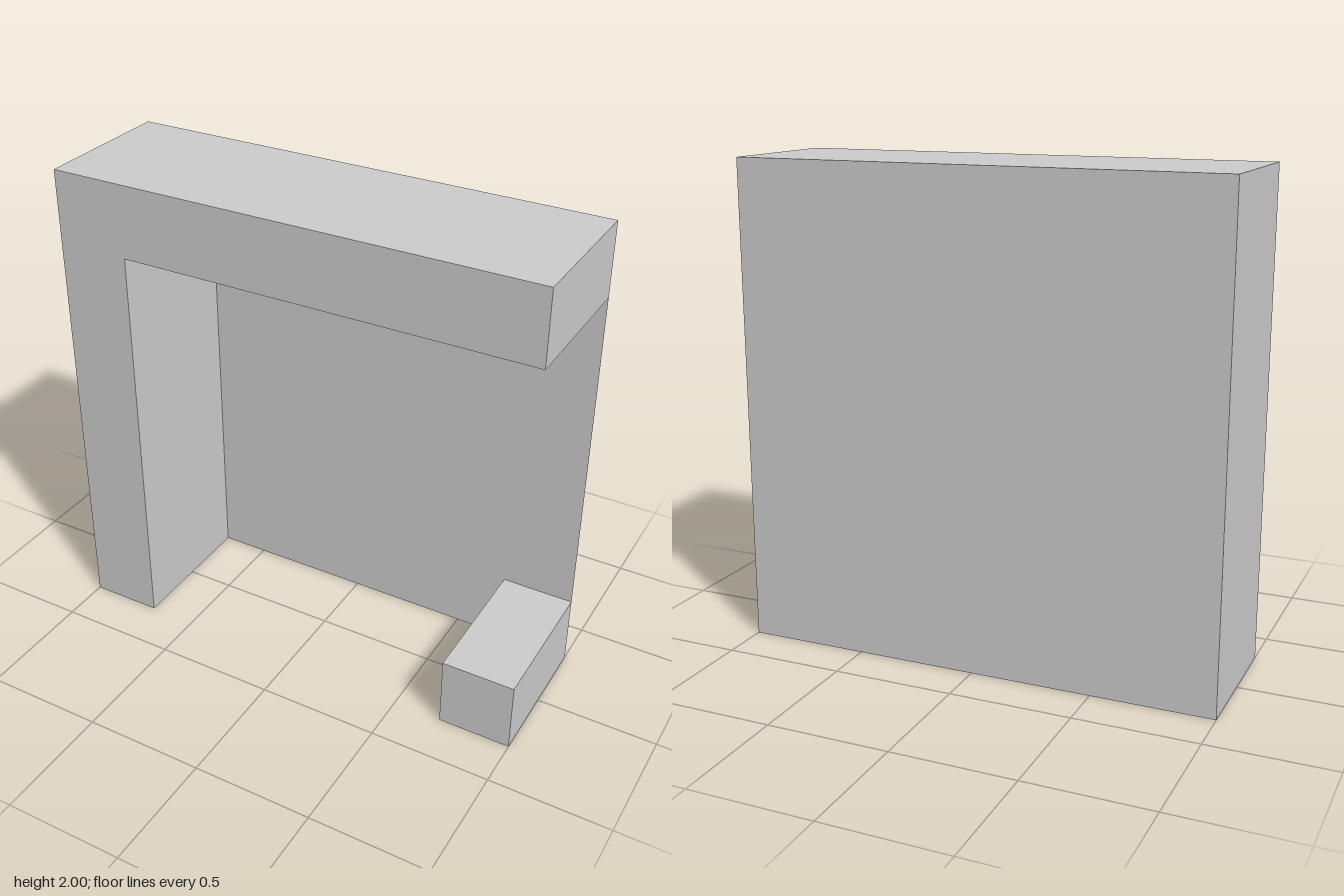
import * as THREE from 'three';

const HALF = 1, HEIGHT = 2, BAR = 0.3, DEPTH = 0.6;

// Flat outline from a list of [x, y] corners
function outline(corners) {
  return new THREE.Shape(corners.map(([x, y]) => new THREE.Vector2(x, y)));
}

export function createModel() {
  const group = new THREE.Group();
  const material = new THREE.MeshStandardMaterial({ color: 0xcccccc, flatShading: true });
  const thin = material.clone();
  thin.side = THREE.DoubleSide;

  const add = (name, geometry, mat = material) => {
    const mesh = new THREE.Mesh(geometry, mat);
    mesh.name = name;
    group.add(mesh);
    return mesh;
  };

  const inner = -HALF + BAR, under = HEIGHT - BAR, footX = HALF - BAR;

  // Post and top beam in one L-shaped piece
  const frame = outline([
    [-HALF, 0], [inner, 0], [inner, under], [HALF, under], [HALF, HEIGHT], [-HALF, HEIGHT],
  ]);
  add('frame', new THREE.ExtrudeGeometry(frame, { depth: DEPTH, bevelEnabled: false }))
    .position.z = -DEPTH / 2;

  // Separate square foot at the open corner
  add('foot', new THREE.BoxGeometry(BAR, BAR, DEPTH))
    .position.set(HALF - BAR / 2, BAR / 2, 0);

  // Paper-thin back panel closing the opening, flush with the rear of the frame
  const panel = outline([
    [inner, 0], [footX, 0], [footX, BAR], [HALF, BAR], [HALF, under], [inner, under],
  ]);
  add('backPanel', new THREE.ShapeGeometry(panel), thin).position.z = -DEPTH / 2;

  return group;
}
